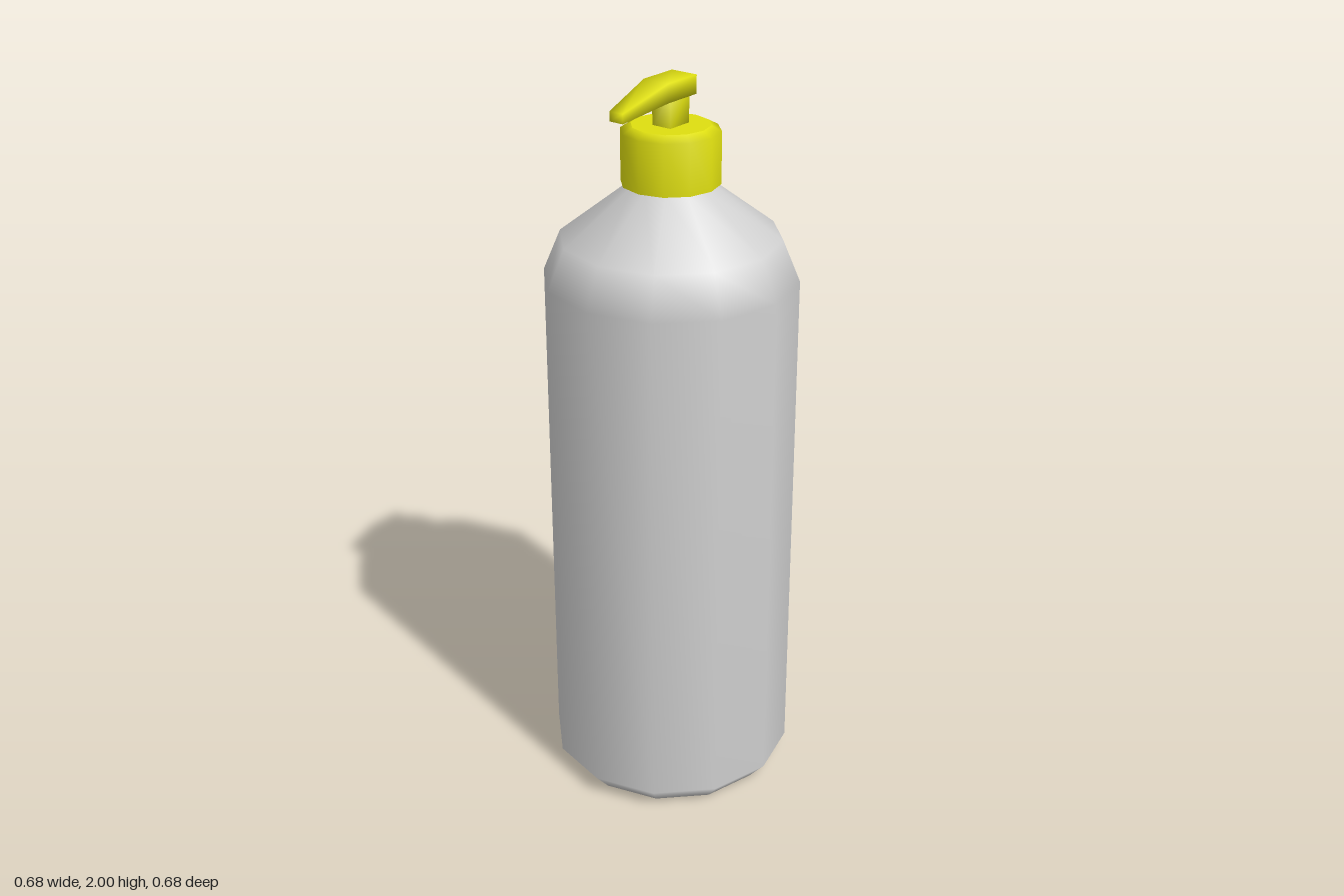
import * as THREE from 'three';
import { mergeVertices } from 'three/addons/utils/BufferGeometryUtils.js';

const SIDES = 12;

// Twelve-sided turned part; a repeated point makes a hard edge
function turned(name, profile, material) {
  const points = profile.map(([r, y]) => new THREE.Vector2(r, y));
  const mesh = new THREE.Mesh(new THREE.LatheGeometry(points, SIDES), material);
  mesh.name = name;
  return mesh;
}

// Box with shared corners, so its shading is smooth
function softBox(name, geometry, material) {
  geometry.deleteAttribute('normal');
  geometry.deleteAttribute('uv');
  const merged = mergeVertices(geometry);
  merged.computeVertexNormals();
  const mesh = new THREE.Mesh(merged, material);
  mesh.name = name;
  return mesh;
}

export function createModel() {
  const grey = new THREE.MeshStandardMaterial({ color: 0xd0d0d0 });
  grey.name = 'bottleGrey';
  const yellow = new THREE.MeshStandardMaterial({ color: 0xdede10 });
  yellow.name = 'pumpYellow';

  const group = new THREE.Group();
  group.name = 'pumpBottle';

  // Bottle with bevelled foot, sloping shoulder and short neck
  group.add(turned('bottle', [
    [0, 0], [0.29, 0], [0.338, 0.055], [0.338, 1.475], [0.292, 1.585],
    [0.105, 1.728], [0.105, 1.75], [0, 1.75],
  ], grey));

  // Screw collar
  group.add(turned('collar', [
    [0, 1.728], [0.13, 1.728], [0.13, 1.728], [0.13, 1.865],
    [0.103, 1.88], [0.103, 1.88], [0, 1.88],
  ], yellow));

  // Pump stem
  const stem = softBox('stem', new THREE.BoxGeometry(0.076, 0.1, 0.058), yellow);
  stem.position.y = 1.92;
  group.add(stem);

  // Pump head: three sections [x, bottom, top, half width], tapering to the spout
  const sections = [
    [-0.213, 1.93, 1.955, 0.021],
    [-0.058, 1.951, 2.0, 0.039],
    [0.055, 1.951, 2.0, 0.039],
  ];
  const head = new THREE.BoxGeometry(2, 2, 2, 2, 1, 1);
  const pos = head.attributes.position;
  for (let i = 0; i < pos.count; i++) {
    const [x, bottom, top, half] = sections[Math.round(pos.getX(i)) + 1];
    pos.setXYZ(i, x, pos.getY(i) > 0 ? top : bottom, Math.sign(pos.getZ(i)) * half);
  }
  group.add(softBox('pumpHead', head, yellow));

  return group;
}
